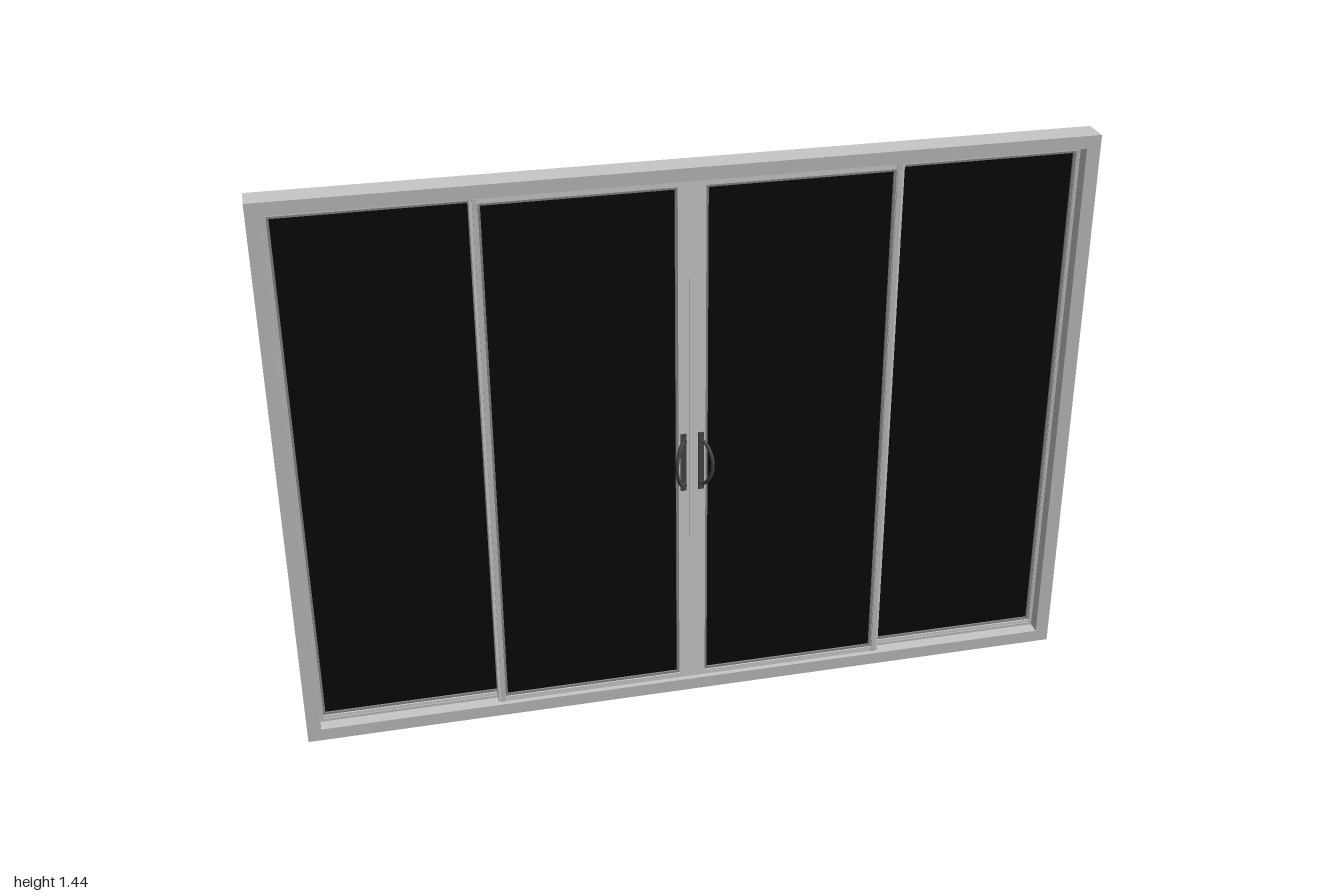
import * as THREE from 'three';

const material = (name, color) => {
  const m = new THREE.MeshStandardMaterial({ color });
  m.name = name;
  return m;
};

export function createModel() {
  const frameGrey = material('frame grey', 0xc8c8c8);
  const panelGrey = material('panel light grey', 0xd8d8d8);
  const gasketGrey = material('gasket grey', 0x8c8c8c);
  const glassBlack = material('glass black', 0x0a0a0a);
  const handleDark = material('handle dark grey', 0x4c4b48);

  const model = new THREE.Group();
  model.name = 'slidingPatioDoor';

  const add = (parent, name, geometry, mat) => {
    const mesh = new THREE.Mesh(geometry, mat);
    mesh.name = name;
    parent.add(mesh);
    return mesh;
  };

  const box = (parent, name, mat, x0, x1, y0, y1, z0, z1) => {
    const mesh = add(parent, name, new THREE.BoxGeometry(x1 - x0, y1 - y0, z1 - z0), mat);
    mesh.position.set((x0 + x1) / 2, (y0 + y1) / 2, (z0 + z1) / 2);
    return mesh;
  };

  // Rectangular ring between an outer and an inner rectangle [x0, x1, y0, y1]
  const ring = (parent, name, mat, o, i, z0, z1) => {
    const corners = ([x0, x1, y0, y1]) => [[x0, y0], [x1, y0], [x1, y1], [x0, y1]].map(p => new THREE.Vector2(...p));
    const shape = new THREE.Shape(corners(o));
    shape.holes.push(new THREE.Path(corners(i).reverse()));
    const geometry = new THREE.ExtrudeGeometry(shape, { depth: z1 - z0, bevelEnabled: false });
    return add(parent, name, geometry.translate(0, 0, z0), mat);
  };

  // Outer frame with the lip that separates the two tracks
  const opening = [-0.965, 0.965, 0.033, 1.412];
  ring(model, 'outerFrame', frameGrey, [-1, 1, 0, 1.444], opening, -0.047, 0.022);
  ring(model, 'trackLip', frameGrey, opening, [-0.957, 0.957, 0.04, 1.405], -0.0135, -0.0115);

  // Framed glass panel with a stepped gasket on both faces
  const panel = (name, outer, glass, z, half) => {
    const group = new THREE.Group();
    group.name = name;
    model.add(group);
    const [x0, x1, y0, y1] = glass;
    const g = 0.006;
    const sight = [x0 - g, x1 + g, y0 - g, y1 + g];
    ring(group, 'panelFrame', panelGrey, outer, sight, z - half, z + half);
    ring(group, 'gasket', gasketGrey, sight, glass, z - half + 0.003, z + half - 0.003);
    box(group, 'glass', glassBlack, ...glass, z - 0.004, z + 0.004);
    return group;
  };

  // Swap the x limits for the mirrored side
  const mirrored = (r, s) => (s > 0 ? r : [-r[1], -r[0], r[2], r[3]]);

  // Pull handle: backplate, bowed grip and two mounting feet
  const handle = (parent, name, s, face) => {
    const group = new THREE.Group();
    group.name = name;
    parent.add(group);
    const plate = box(group, 'backplate', handleDark, -0.007, 0.007, 0.6, 0.758, -0.002, 0.002);
    plate.position.x = s * 0.022;
    plate.position.z = face * 0.0135;
    const point = (y, out) => new THREE.Vector3(s * (0.019 + out * 0.026), y, face * (0.013 + out * 0.0305));
    const bow = [[0.617, 0], [0.622, 0.4], [0.645, 0.82], [0.678, 1], [0.711, 0.82], [0.734, 0.4], [0.739, 0]];
    const curve = new THREE.CatmullRomCurve3(bow.map(p => point(...p)));
    add(group, 'grip', new THREE.TubeGeometry(curve, 32, 0.0045, 10), handleDark);
    for (const y of [0.617, 0.739]) {
      const foot = add(group, 'mountingFoot', new THREE.CylinderGeometry(0.0065, 0.0065, 0.008, 16), handleDark);
      foot.rotation.x = Math.PI / 2;
      foot.position.set(s * 0.021, y, face * 0.016);
    }
  };

  for (const s of [1, -1]) {
    const side = s > 0 ? 'left' : 'right';
    // Fixed panel on the rear track
    panel(side + 'FixedPanel', mirrored([0.487, 0.965, 0.033, 1.412], s),
      mirrored([0.512, 0.95, 0.055, 1.39], s), -0.025, 0.0115);
    // Sliding panel on the front track
    const slider = panel(side + 'SlidingPanel', mirrored([0.001, 0.512, 0.035, 1.41], s),
      mirrored([0.04, 0.487, 0.055, 1.39], s), 0, 0.0115);
    handle(slider, side + 'FrontHandle', s, 1);
    handle(slider, side + 'BackHandle', s, -1);
    // Interlock ridge on the overlapping stiles
    const [a, b] = mirrored([0.494, 0.505, 0, 0], s);
    box(slider, 'interlockRidge', frameGrey, a, b, 0.036, 1.409, 0.0115, 0.0145);
  }

  // Weather strip and cover where the sliding panels meet
  box(model, 'meetingStrip', panelGrey, -0.006, 0.006, 0.036, 1.409, -0.0125, 0.0125);

  return model;
}
